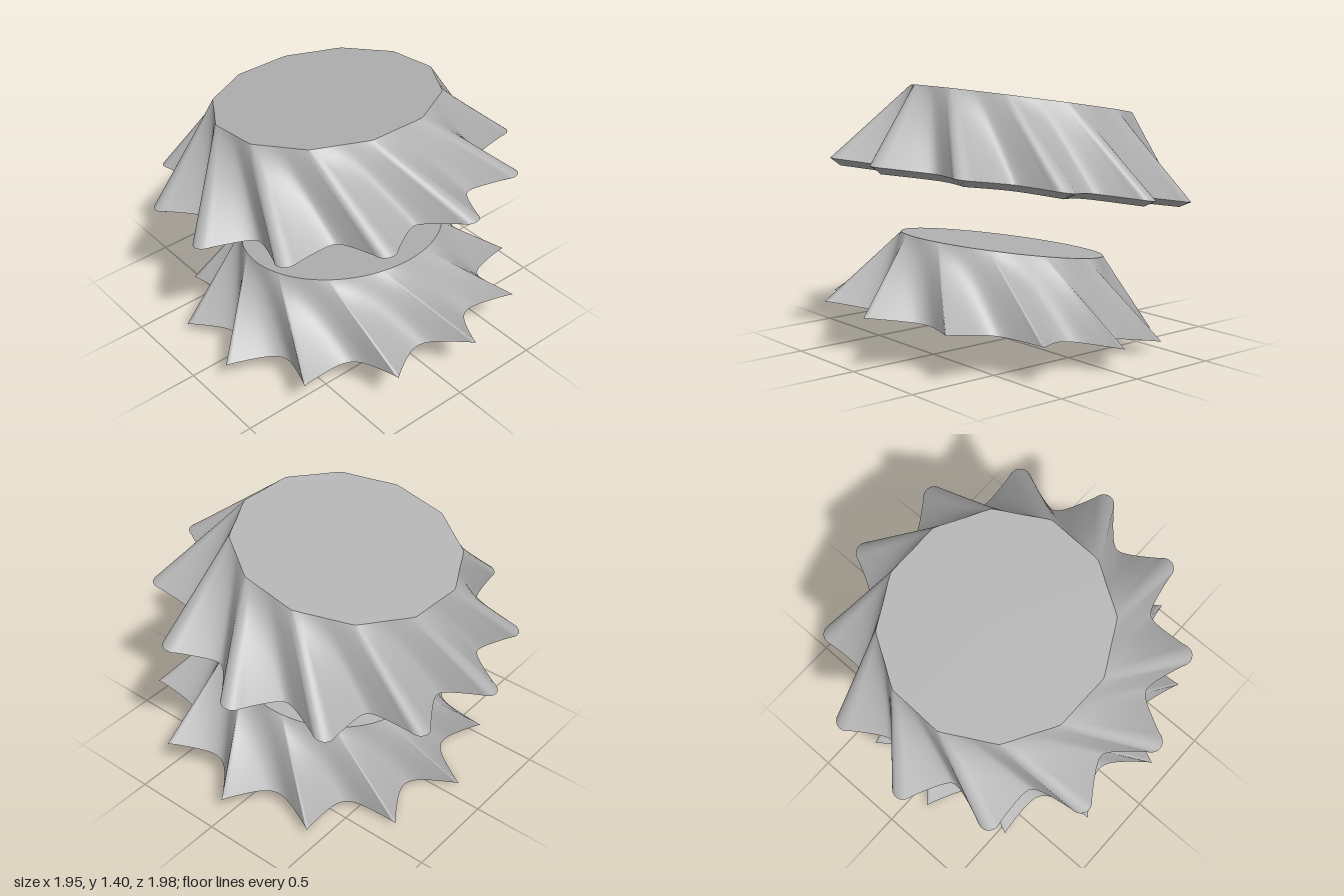
import * as THREE from 'three';

const N = 480;                 // samples around each ring
const TEETH = 12;
const BASE_PHASE = -0.105;     // angle of the first tooth at the rim
const TOP_PHASE = 0.297;       // the flutes twist on their way up

// Radius of the toothed rim: sharp tips, rounded valleys
const toothRadius = (a) => 0.92 - 0.2 * Math.pow(Math.abs(Math.sin(a * TEETH / 2)), 0.85);

// Toothed rim grown outwards by d, which rounds the tips
function grownRadius(a, d) {
  let best = 0;
  for (let k = -60; k <= 60; k++) {
    const delta = k * Math.PI * 2 / 1440;
    const c = toothRadius(a + delta);
    const s = d * d - (c * Math.sin(delta)) ** 2;
    if (s >= 0) best = Math.max(best, c * Math.cos(delta) + Math.sqrt(s));
  }
  return best;
}

// Closed ring of points at height y
function ring(y, phase, radiusAt) {
  return Array.from({ length: N }, (_, j) => {
    const a = j / N * Math.PI * 2;
    const r = radiusAt(a);
    return new THREE.Vector3(r * Math.cos(a + phase), y, r * Math.sin(a + phase));
  });
}

// Ruled surface from ring a to ring b
function loft(name, a, b, rows, material) {
  const pos = [], index = [];
  for (let i = 0; i <= rows; i++) {
    for (let j = 0; j < N; j++) {
      const p = a[j].clone().lerp(b[j], i / rows);
      pos.push(p.x, p.y, p.z);
    }
  }
  for (let i = 0; i < rows; i++) {
    for (let j = 0; j < N; j++) {
      const k = (j + 1) % N;
      const p = i * N + j, q = i * N + k;
      index.push(p, p + N, q, q, p + N, q + N);
    }
  }
  const g = new THREE.BufferGeometry();
  g.setAttribute('position', new THREE.Float32BufferAttribute(pos, 3));
  g.setIndex(index);
  g.computeVertexNormals();
  const mesh = new THREE.Mesh(g, material);
  mesh.name = name;
  return mesh;
}

export function createModel() {
  const grey = new THREE.MeshStandardMaterial({ color: 0xb4b4b4 });
  grey.name = 'grey';

  const H = 0.397;             // height of the solid core
  const RIM_Y = 0.033;         // outer rim sits a little above the inner rim
  const TOP_Y = H + 0.066;     // outside of the shell's top

  const baseRing = ring(0, BASE_PHASE, toothRadius);
  const coreTop = ring(H, TOP_PHASE, () => 0.547);
  const outerRim = ring(RIM_Y, BASE_PHASE, (a) => grownRadius(a, 0.058));
  const outerTop = ring(TOP_Y, TOP_PHASE,
    (a) => 0.602 - 0.02 * Math.abs(Math.sin(a * TEETH / 2)));
  const centre = (y, phase) => ring(y, phase, () => 0);

  // Solid fluted core
  const core = new THREE.Group();
  core.name = 'core';
  core.add(
    loft('coreSide', baseRing, coreTop, 24, grey),
    loft('coreTop', coreTop, centre(H, TOP_PHASE), 1, grey),
    loft('coreBase', centre(0, BASE_PHASE), baseRing, 1, grey),
  );

  // Hollow cover raised above the core
  const cover = new THREE.Group();
  cover.name = 'cover';
  cover.position.y = 0.715;
  cover.add(
    loft('coverSide', outerRim, outerTop, 24, grey),
    loft('coverTop', outerTop, centre(TOP_Y, TOP_PHASE), 1, grey),
    loft('coverRim', baseRing, outerRim, 1, grey),
    loft('coverInside', coreTop, baseRing, 24, grey),
    loft('coverCeiling', centre(H, TOP_PHASE), coreTop, 1, grey),
  );

  // Both parts lean backwards on a shared axis
  const leaning = new THREE.Group();
  leaning.name = 'leaningStack';
  leaning.rotation.x = -0.161;
  leaning.position.set(0, 0.148, 0.095);
  leaning.add(core, cover);

  const model = new THREE.Group();
  model.name = 'flutedCapAndCore';
  model.add(leaning);
  return model;
}
